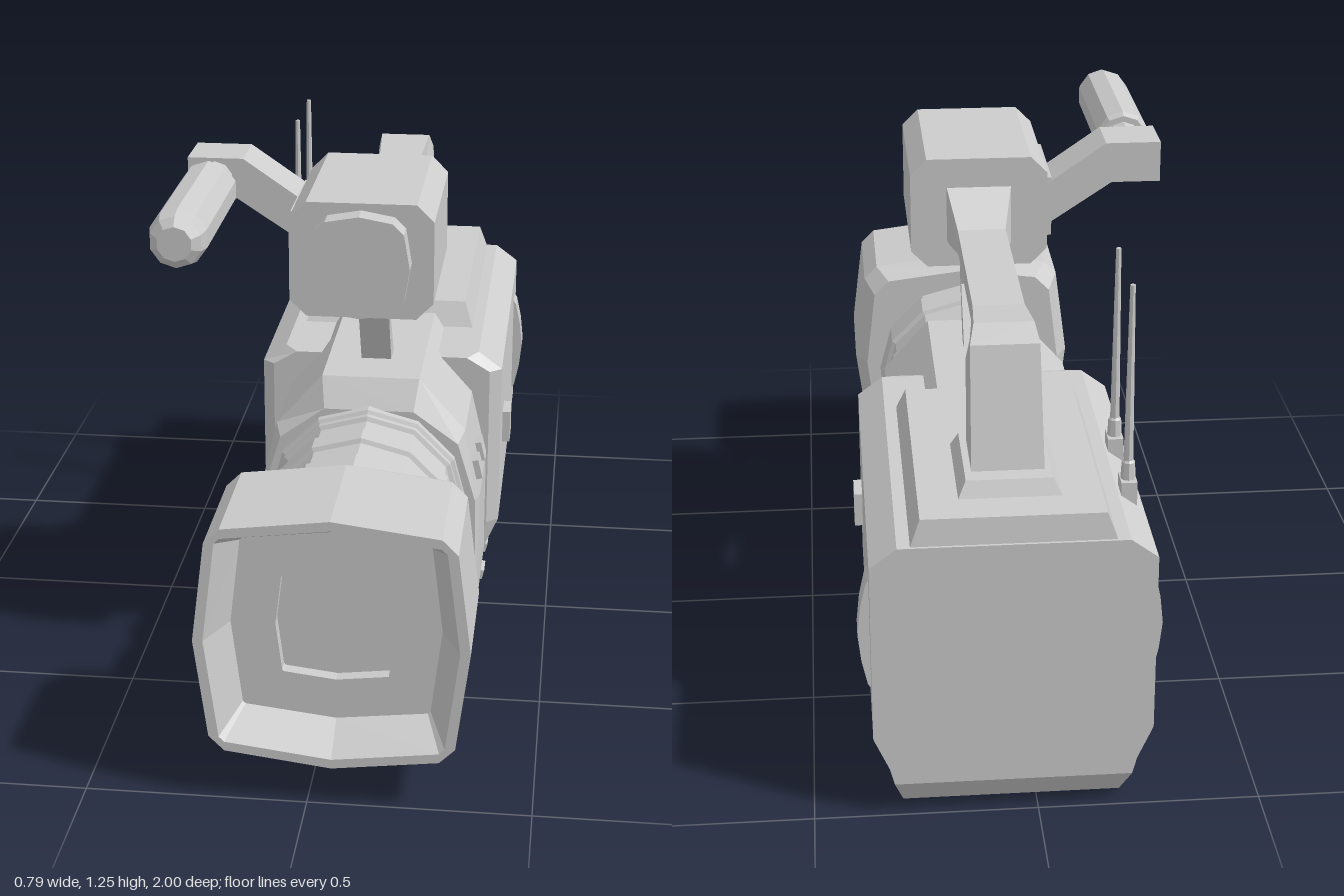
import * as THREE from 'three';

const CX = 0.055; // centre line of the camera body
const CY = 0.39; // height of the lens axis

// Skin closed rings of equal point count, cap both ends, face outwards
function loft(rings) {
  const n = rings[0].length, pos = [], idx = [];
  rings.forEach(r => r.forEach(p => pos.push(...p)));
  for (let i = 0; i < rings.length - 1; i++) {
    for (let j = 0; j < n; j++) {
      const a = i * n + j, b = i * n + (j + 1) % n;
      idx.push(a, b, b + n, a, b + n, a + n);
    }
  }
  [0, rings.length - 1].forEach(k => {
    const c = pos.length / 3;
    pos.push(...[0, 1, 2].map(d => rings[k].reduce((s, p) => s + p[d], 0) / n));
    for (let j = 0; j < n; j++) {
      const a = k * n + j, b = k * n + (j + 1) % n;
      if (k === 0) idx.push(c, b, a); else idx.push(c, a, b);
    }
  });
  const v = i => new THREE.Vector3().fromArray(pos, i * 3);
  let volume = 0;
  for (let i = 0; i < idx.length; i += 3) {
    volume += v(idx[i]).dot(v(idx[i + 1]).cross(v(idx[i + 2])));
  }
  if (volume < 0) idx.reverse();
  const g = new THREE.BufferGeometry();
  g.setAttribute('position', new THREE.Float32BufferAttribute(pos, 3));
  g.setIndex(idx);
  const flat = g.toNonIndexed();
  flat.computeVertexNormals();
  return flat;
}

// Mirror a right-hand half section [halfWidth, y] into a full ring
const mirrored = (half, z) => [
  ...half.map(([x, y]) => [CX + x, y, z]),
  ...half.slice().reverse().map(([x, y]) => [CX - x, y, z]),
];

// Square with cut corners and softly bowed sides
function bowed(hx, hy, z, cut, bow, cy = CY) {
  const x = hx - bow, y = hy - bow;
  return [[0, hy], [x - cut, y], [x, y - cut], [hx, 0], [x, cut - y], [x - cut, -y],
    [0, -hy], [cut - x, -y], [-x, cut - y], [-hx, 0], [-x, y - cut], [cut - x, y]]
    .map(([px, py]) => [CX + px, cy + py, z]);
}

// Rectangle in the horizontal plane
const slabRing = (x0, x1, z0, z1, y) => [[x0, y, z0], [x1, y, z0], [x1, y, z1], [x0, y, z1]];

export function createModel() {
  const model = new THREE.Group();
  const grey = new THREE.MeshStandardMaterial({ color: 0xcccccc, flatShading: true });
  grey.name = 'light grey';

  const add = (name, geometry, x = 0, y = 0, z = 0) => {
    const m = new THREE.Mesh(geometry, grey);
    m.name = name;
    m.position.set(x, y, z);
    model.add(m);
    return m;
  };
  const box = (name, w, h, d, x, y, z) => add(name, new THREE.BoxGeometry(w, h, d), x, y, z);

  // Rear housing
  const rear = (inset, lift) => [[0.245 + lift * 0.25 - inset, lift], [0.275 - inset, 0.12],
    [0.31 - inset, 0.2], [0.31 - inset, 0.625], [0.25 - inset, 0.67 - inset * 0.3]];
  add('rearHousing', loft([
    mirrored(rear(0.03, 0), -0.075), mirrored(rear(0, 0), -0.1),
    mirrored(rear(0, 0), -0.94), mirrored(rear(0, 0.08), -1),
  ]));

  // Front housing behind the lens
  const mid = [[0.275, 0.12], [0.275, 0.4], [0.235, 0.57], [0.12, 0.7]];
  add('frontHousing', loft([
    mirrored([[0.265, 0.1], [0.27, 0.12], [0.265, 0.4], [0.22, 0.55], [0.11, 0.63]], 0.23),
    mirrored([[0.255, 0.04], ...mid], 0.185),
    mirrored([[0.245, 0], ...mid], 0.16),
    mirrored([[0.245, 0], ...mid], -0.1),
    mirrored([[0.2, 0.03], [0.22, 0.14], [0.22, 0.4], [0.21, 0.57], [0.12, 0.7]], -0.31),
  ]));

  // Raised top plate and handle pedestal
  add('topPlate', loft([
    slabRing(-0.17, 0.28, -0.995, -0.275, 0.66), slabRing(-0.145, 0.255, -0.985, -0.315, 0.73),
  ]));
  add('handlePedestal', loft([
    slabRing(-0.06, 0.17, -0.9, -0.62, 0.725), slabRing(-0.04, 0.15, -0.88, -0.64, 0.765),
  ]));

  // Twelve-sided lens barrel with stepped rings
  const steps = [[0.65, 0], [0.65, 0.225], [0.595, 0.225], [0.595, 0.236], [0.5, 0.236], [0.495, 0.225],
    [0.41, 0.225], [0.405, 0.236], [0.345, 0.236], [0.335, 0.225], [0.275, 0.225], [0.27, 0.236],
    [0.255, 0.236], [0.25, 0.245], [0.2, 0.245], [0.2, 0]];
  const barrel = new THREE.LatheGeometry(
    steps.slice().reverse().map(([z, r]) => new THREE.Vector2(r, z)), 12);
  barrel.rotateX(Math.PI / 2);
  add('lensBarrel', barrel, CX, 0.395, 0);

  // Lens hood: outer shell, rim, sloping inside walls and recessed glass
  add('lensHood', loft([
    bowed(0.272, 0.272, 0.638, 0.04, 0.025), bowed(0.303, 0.3, 0.7, 0.035, 0.03),
    bowed(0.303, 0.3, 1, 0.035, 0.03), bowed(0.28, 0.278, 1, 0.012, 0.03),
    bowed(0.235, 0.23, 0.9, 0.006, 0.024), bowed(0.135, 0.133, 0.9, 0.004, 0.014),
    bowed(0.135, 0.133, 0.87, 0.004, 0.014),
  ]));

  // Viewfinder box, eyepiece and strut
  const finder = z => [[0.128, 0.932], [0.168, 0.972], [0.168, 1.168], [0.128, 1.208]]
    .map(([x, y]) => [x, y]).reduce((h, p) => [...h, p], []) && mirrored(
    [[0.128, 0.932], [0.168, 0.972], [0.168, 1.168], [0.128, 1.208]], z);
  add('viewfinder', loft([finder(0.4), finder(-0.025)]));
  add('eyepiece', loft([
    bowed(0.117, 0.122, 0.39, 0.025, 0.014, 1.07), bowed(0.117, 0.122, 0.455, 0.025, 0.014, 1.07),
  ]));
  add('viewfinderStrut', loft([
    slabRing(0.018, 0.093, -0.015, 0.05, 0.69),
    slabRing(0.018, 0.093, 0.085, 0.12, 0.84),
    slabRing(0.018, 0.093, 0.06, 0.155, 0.94),
  ]));

  // Carrying handle: rectangular sections [halfWidth, topZ, topY, underZ, underY]
  const handle = [
    [0.08, -0.02, 1.14, -0.02, 1.0], [0.075, -0.04, 1.12, -0.06, 1.0], [0.058, -0.11, 1.055, -0.13, 1.0],
    [0.058, -0.6, 1.055, -0.6, 1.0], [0.066, -0.735, 1.07, -0.61, 0.975],
    [0.076, -0.765, 1.03, -0.622, 0.94], [0.08, -0.84, 0.755, -0.685, 0.755],
  ];
  add('carryingHandle', loft(handle.map(([w, tz, ty, uz, uy]) =>
    [[CX - w, ty, tz], [CX + w, ty, tz], [CX + w, uy, uz], [CX - w, uy, uz]])));

  // Microphone arm, mount and microphone
  const arm = new THREE.Shape([[-0.1, 1.015], [-0.1, 1.12], [-0.26, 1.23], [-0.395, 1.23],
    [-0.395, 1.13], [-0.275, 1.13]].map(p => new THREE.Vector2(...p)));
  add('microphoneArm', new THREE.ExtrudeGeometry(arm, { depth: 0.135, bevelEnabled: false }));
  box('armMount', 0.02, 0.15, 0.27, -0.117, 1.07, 0.14);
  const mic = new THREE.LatheGeometry([[0, 0.12], [0.045, 0.12], [0.045, 0.2], [0.06, 0.2], [0.068, 0.215],
    [0.068, 0.6], [0.06, 0.635], [0.04, 0.652], [0, 0.652]].map(p => new THREE.Vector2(...p)), 10);
  mic.rotateX(Math.PI / 2);
  add('microphone', mic, -0.33, 1.177, 0);

  // Two antennas with flared bases
  [-0.53, -0.755].forEach(z => {
    box('antennaFoot', 0.036, 0.09, 0.055, -0.22, 0.65, z);
    const rod = [[0, 0.64], [0.02, 0.64], [0.015, 0.735], [0.011, 0.74], [0.006, 1.155], [0, 1.155]];
    add('antenna', new THREE.LatheGeometry(rod.map(p => new THREE.Vector2(...p)), 8), -0.22, 0, z);
  });

  // Curved side grips near the back
  [-1, 1].forEach(s => {
    const x = d => CX + s * d;
    add('sideGrip', loft([[0.27, 0.305], [0.29, 0.317], [0.35, 0.33], [0.415, 0.337], [0.48, 0.33],
      [0.54, 0.317], [0.56, 0.305]].map(([y, d]) =>
      [[x(0.3), y, -0.845], [x(d), y, -0.845], [x(d), y, -0.915], [x(0.3), y, -0.915]])));
  });

  // Side pads and buttons
  box('leftButton', 0.04, 0.085, 0.08, 0.365, 0.41, -0.27);
  box('rightPad', 0.03, 0.125, 0.16, -0.255, 0.41, -0.475);
  [0.16, 0.047].forEach(z => {
    box('frontButton', 0.04, 0.05, 0.055, 0.31, 0.463, z).rotation.z = 0.23;
  });
  [-0.11, -0.275].forEach(z => {
    box('baseSocket', 0.03, 0.026, 0.06, 0.315, 0.045, z).rotation.z = -0.25;
  });

  return model;
}
